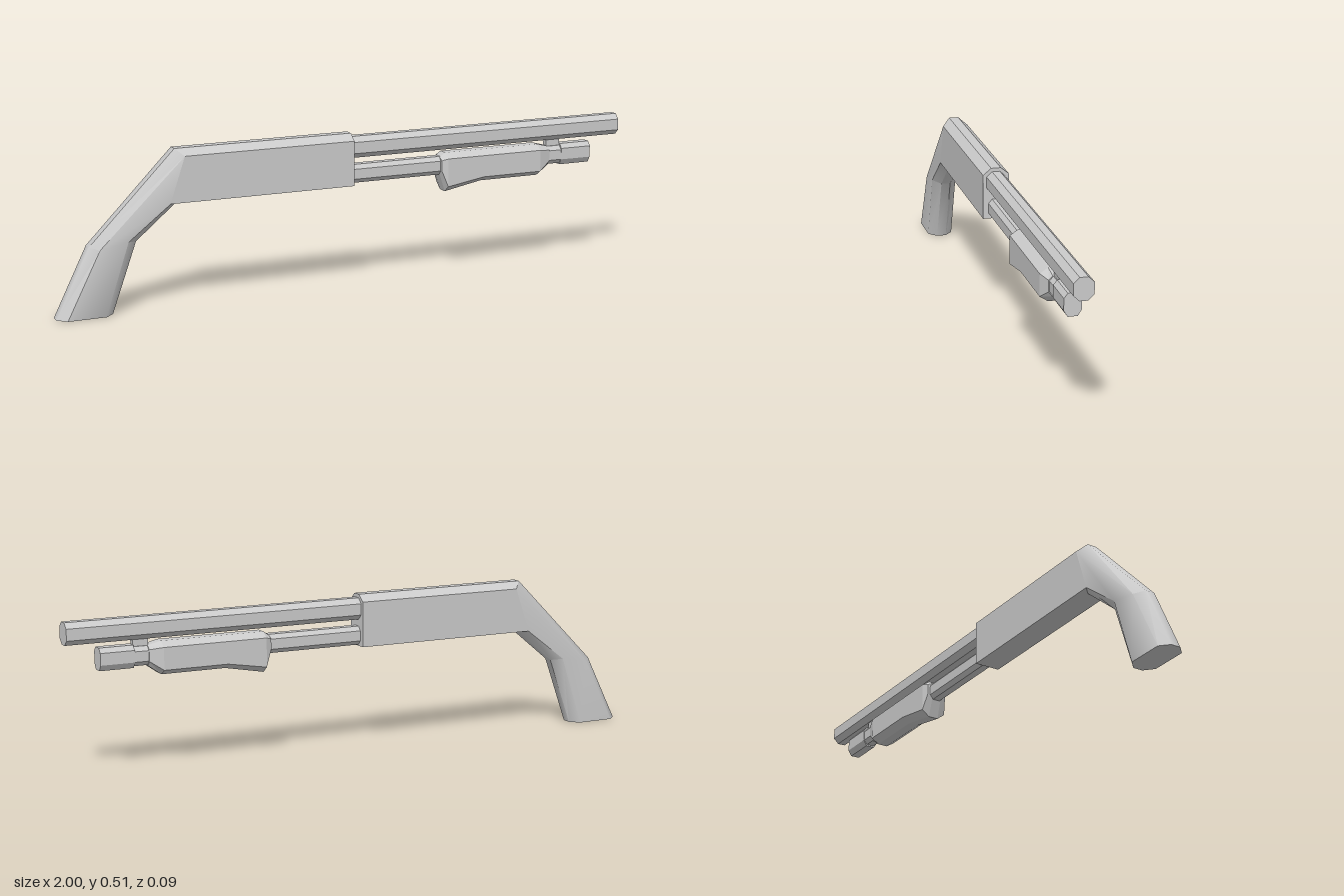
import * as THREE from 'three';
import { toCreasedNormals } from 'three/addons/utils/BufferGeometryUtils.js';

const material = new THREE.MeshStandardMaterial({ color: 0xcccccc });

// Eight-sided section: four [x, y] levels from top to bottom,
// half width w at the sides, half width f of the flats at top and bottom.
function ring(top, up, low, bottom, w, f) {
  return [
    [...top, -f], [...top, f], [...up, w], [...low, w],
    [...bottom, f], [...bottom, -f], [...low, -w], [...up, -w],
  ];
}

// Upright section at one x.
const section = (x, top, up, low, bottom, w, f) =>
  ring([x, top], [x, up], [x, low], [x, bottom], w, f);

// Skin sections ordered along +x; a crease angle above 0 smooths soft edges.
function loft(name, rings, { startCap = true, endCap = true, crease = 0 } = {}) {
  const pos = [];
  const tri = (a, b, c) => pos.push(...a, ...b, ...c);
  for (let i = 0; i < rings.length - 1; i++) {
    const r = rings[i], s = rings[i + 1];
    for (let j = 0; j < 8; j++) {
      const k = (j + 1) % 8;
      tri(r[j], r[k], s[k]);
      tri(r[j], s[k], s[j]);
    }
  }
  const first = rings[0], last = rings[rings.length - 1];
  for (let j = 1; j < 7; j++) {
    if (startCap) tri(first[0], first[j + 1], first[j]);
    if (endCap) tri(last[0], last[j], last[j + 1]);
  }
  let geometry = new THREE.BufferGeometry();
  geometry.setAttribute('position', new THREE.Float32BufferAttribute(pos, 3));
  geometry.computeVertexNormals();
  if (crease > 0) geometry = toCreasedNormals(geometry, crease);
  const mesh = new THREE.Mesh(geometry, material);
  mesh.name = name;
  return mesh;
}

// Straight bar with a constant section.
const bar = (name, x0, x1, ...profile) =>
  loft(name, [section(x0, ...profile), section(x1, ...profile)]);

export function createModel() {
  const group = new THREE.Group();
  group.name = 'pumpActionGun';

  // Curved grip meeting the receiver at a mitred joint
  const joint = ring([-0.605, 0.51], [-0.58, 0.488], [-0.63, 0.34], [-0.6, 0.34], 0.043, 0.016);
  group.add(loft('grip', [
    ring([-1, 0], [-0.972, 0], [-0.847, 0], [-0.818, 0], 0.043, 0.016),
    ring([-0.89, 0.222], [-0.863, 0.215], [-0.77, 0.232], [-0.737, 0.226], 0.043, 0.016),
    joint,
  ], { endCap: false, crease: 0.8 }));

  // Receiver with chamfered top and flat underside
  group.add(loft('receiver', [
    joint,
    section(0, 0.51, 0.488, 0.34, 0.34, 0.043, 0.016),
  ], { startCap: false }));

  // Barrel above, magazine tube with its end cap below
  group.add(bar('barrel', -0.01, 1, 0.498, 0.481, 0.444, 0.427, 0.031, 0.013));
  group.add(bar('magazineTube', -0.01, 0.79, 0.405, 0.391, 0.358, 0.344, 0.025, 0.013));
  group.add(bar('magazineCap', 0.78, 0.892, 0.411, 0.396, 0.358, 0.339, 0.027, 0.015));

  // Small bracket joining tube and barrel
  const bracket = new THREE.Mesh(new THREE.BoxGeometry(0.05, 0.04, 0.02), material);
  bracket.name = 'barrelBracket';
  bracket.position.set(0.755, 0.411, 0);
  group.add(bracket);

  // Pump handle, deeper towards the receiver
  group.add(loft('pumpHandle', [
    section(0.322, 0.403, 0.394, 0.36, 0.347, 0.034, 0.016),
    section(0.342, 0.417, 0.4, 0.306, 0.286, 0.043, 0.017),
    section(0.475, 0.417, 0.4, 0.328, 0.311, 0.043, 0.017),
    section(0.69, 0.417, 0.4, 0.328, 0.311, 0.043, 0.017),
    section(0.733, 0.406, 0.394, 0.357, 0.341, 0.028, 0.015),
  ]));

  return group;
}
